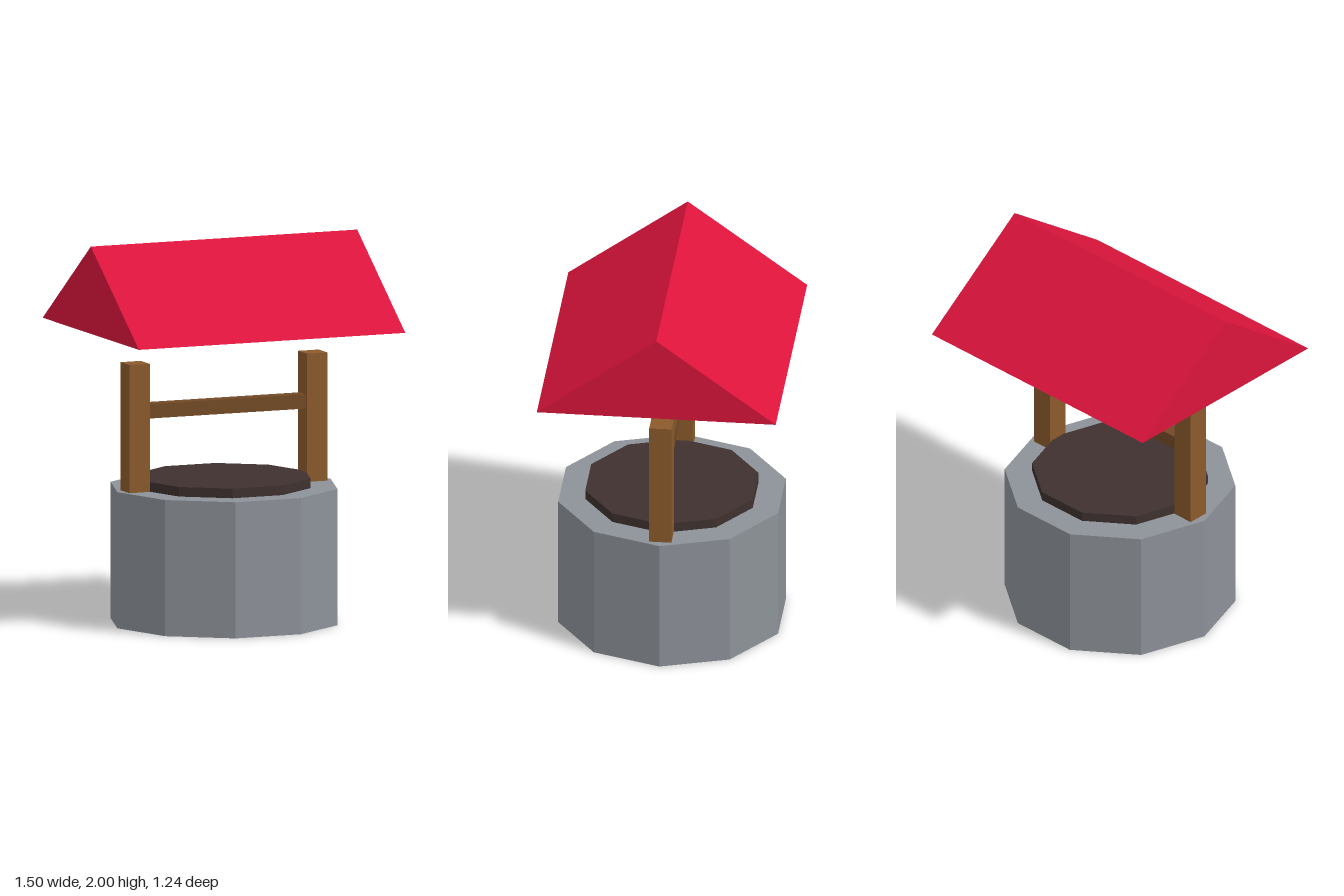
import * as THREE from 'three';

export function createModel() {
  const well = new THREE.Group();
  well.name = 'well';

  const mat = (color) => new THREE.MeshStandardMaterial({ color, flatShading: true });
  const stone = mat(0x8d9299);
  const wood = mat(0x8b5a2b);
  const darkWood = mat(0x734a26);
  const dark = mat(0x3e312f);
  const red = mat(0xdc143c);

  const add = (name, geometry, material, x, y, z) => {
    const mesh = new THREE.Mesh(geometry, material);
    mesh.name = name;
    mesh.position.set(x, y, z);
    well.add(mesh);
    return mesh;
  };

  // Ten-sided drum with a corner on the x axis
  const drum = (radius, height) =>
    new THREE.CylinderGeometry(radius, radius, height, 10, 1, false, Math.PI / 2);

  // Stone base and the dark disc showing above its rim
  add('stoneBase', drum(0.6, 0.71), stone, 0, 0.355, 0);
  add('wellOpening', drum(0.457, 0.05), dark, 0, 0.735, 0);

  // Posts and the crossbar between them
  for (const [name, side] of [['leftPost', 1], ['rightPost', -1]]) {
    add(name, new THREE.BoxGeometry(0.115, 0.67, 0.115), wood, side * 0.5, 1.043, 0);
  }
  add('crossbar', new THREE.BoxGeometry(0.9, 0.075, 0.075), darkWood, 0, 1.127, 0);

  // Gabled roof: triangle extruded along x
  const gable = new THREE.Shape([
    new THREE.Vector2(-0.62, 0),
    new THREE.Vector2(0.62, 0),
    new THREE.Vector2(0, 0.455),
  ]);
  const roof = new THREE.ExtrudeGeometry(gable, { depth: 1.5, bevelEnabled: false });
  roof.translate(0, 0, -0.75).rotateY(Math.PI / 2);
  add('roof', roof, red, 0, 1.545, 0);

  return well;
}
